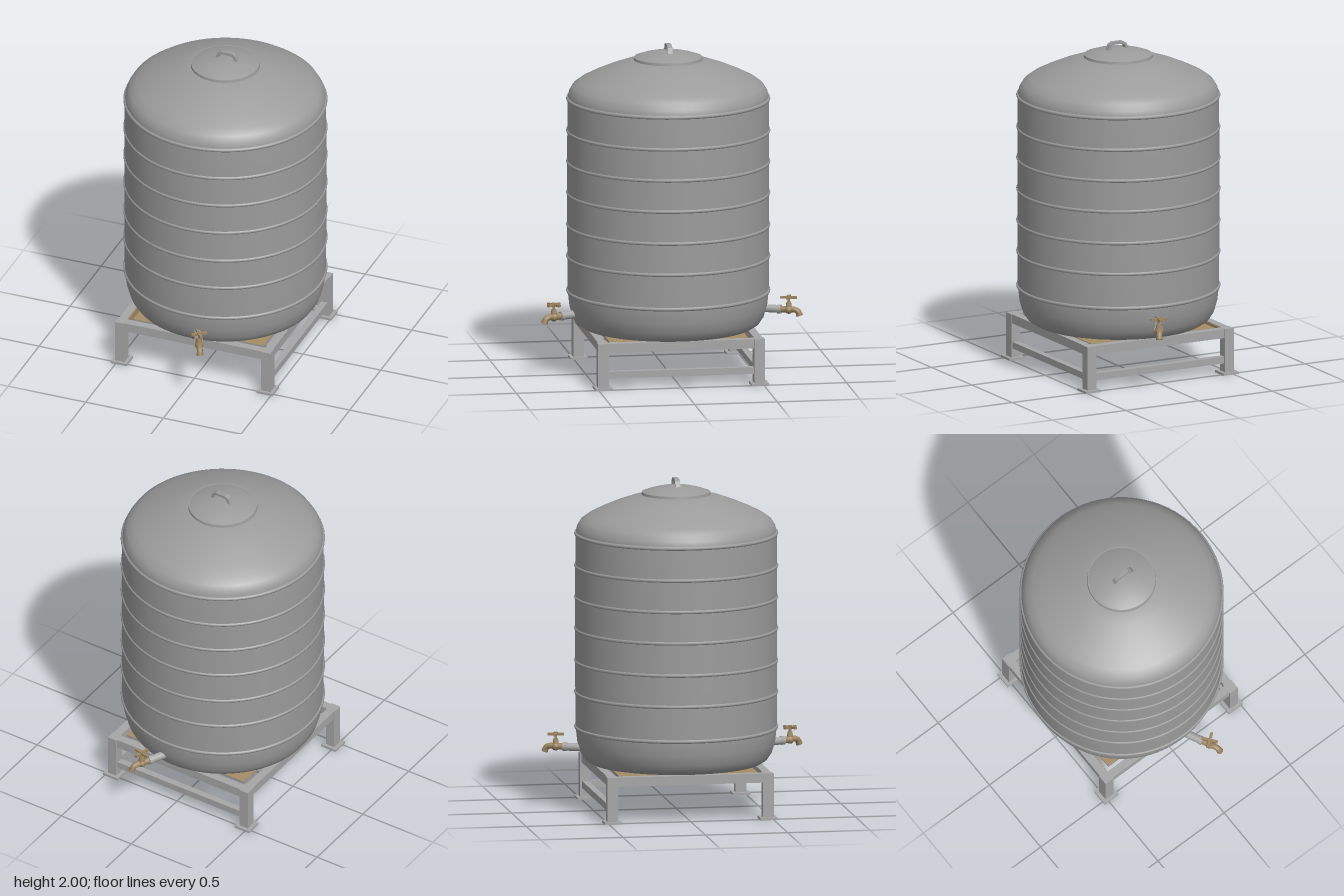
import * as THREE from 'three';

const mat = (name, color) => {
  const m = new THREE.MeshStandardMaterial({ color });
  m.name = name;
  return m;
};

export function createModel() {
  const steel = mat('tank steel', 0x9b9b9b);
  const frameSteel = mat('frame steel', 0xa6a6a6);
  const brass = mat('brass', 0x9c8562);
  const rust = mat('rust', 0xa58c66);

  const model = new THREE.Group();
  model.name = 'waterTank';
  const add = (parent, name, geo, material, x = 0, y = 0, z = 0) => {
    const m = new THREE.Mesh(geo, material);
    m.name = name;
    m.position.set(x, y, z);
    parent.add(m);
    return m;
  };
  const box = (parent, name, w, h, d, x, y, z, material) =>
    add(parent, name, new THREE.BoxGeometry(w, h, d), material, x, y, z);
  const lathe = (pts, seg, start = 0, sweep = Math.PI * 2) =>
    new THREE.LatheGeometry(pts.map(([r, y]) => new THREE.Vector2(r, y)), seg, start, sweep);

  // Tank body with rounded base and domed shoulder
  add(model, 'tankBody', lathe([
    [0, 0.28], [0.48, 0.28], [0.515, 0.286], [0.547, 0.306], [0.573, 0.345], [0.592, 0.41],
    [0.602, 0.5], [0.604, 0.8], [0.604, 1.4], [0.602, 1.67], [0.594, 1.71], [0.572, 1.747],
    [0.53, 1.778], [0.46, 1.813], [0.37, 1.852], [0.28, 1.884], [0.19, 1.91], [0, 1.925],
  ], 72), steel);

  // Raised hoops around the tank
  for (const y of [0.5, 0.71, 0.9, 1.095, 1.285, 1.475, 1.67]) {
    const hoop = add(model, 'hoop', new THREE.TorusGeometry(0.599, 0.012, 8, 72), steel, 0, y, 0);
    hoop.rotation.x = Math.PI / 2;
  }

  // Lid: rim and shallow dome
  add(model, 'lidRim', new THREE.CylinderGeometry(0.205, 0.208, 0.022, 48), steel, 0, 1.909, 0);
  add(model, 'lidDome', lathe([
    [0.203, 1.918], [0.16, 1.935], [0.1, 1.95], [0.05, 1.957], [0, 1.959],
  ], 48), steel);

  // Lid handle: a bent strap
  const strap = new THREE.Shape();
  [[-0.065, 1.945], [-0.047, 1.987], [-0.025, 2], [0.045, 2], [0.065, 1.987], [0.083, 1.945],
    [0.065, 1.945], [0.051, 1.976], [0.04, 1.984], [-0.02, 1.984], [-0.033, 1.976], [-0.047, 1.945],
  ].forEach(([x, y], i) => (i ? strap.lineTo(x, y) : strap.moveTo(x, y)));
  const strapGeo = new THREE.ExtrudeGeometry(strap, { depth: 0.03, bevelEnabled: false });
  add(model, 'lidHandle', strapGeo, steel, 0, 0, -0.015);

  // Stand: legs, feet, top rails and lower braces
  const stand = new THREE.Group();
  stand.name = 'stand';
  model.add(stand);
  const xs = [-0.48, 0.46], zs = [-0.475, 0.47];
  for (const x of xs) {
    for (const z of zs) {
      box(stand, 'leg', 0.06, 0.27, 0.065, x, 0.145, z, frameSteel);
      box(stand, 'foot', 0.105, 0.014, 0.105, x, 0.007, z, frameSteel);
    }
    box(stand, 'sideRail', 0.05, 0.055, 0.9, x, 0.252, 0, frameSteel);
  }
  for (const z of zs) box(stand, 'crossRail', 0.9, 0.055, 0.05, -0.01, 0.252, z, frameSteel);
  box(stand, 'backBrace', 0.89, 0.042, 0.04, -0.01, 0.088, zs[0], frameSteel);
  box(stand, 'sideBrace', 0.04, 0.04, 0.89, xs[1], 0.088, 0, frameSteel);

  // Platform under the tank with a rusty top
  const plate = box(stand, 'platform', 0.84, 0.014, 0.84, -0.005, 0.267, 0, steel);
  plate.material = [steel, steel, rust, steel, steel, steel];

  // Rust on the inner rail face, under the platform edge and below the front tap
  box(stand, 'railRust', 0.006, 0.05, 0.86, xs[0] + 0.027, 0.25, 0, rust);
  box(stand, 'platformRust', 0.05, 0.004, 0.5, 0.385, 0.259, -0.1, rust);
  box(stand, 'railStain', 0.05, 0.03, 0.006, 0.03, 0.263, zs[1] + 0.024, rust);
  add(model, 'tankStain', lathe([
    [0.518, 0.285], [0.55, 0.305], [0.576, 0.345], [0.583, 0.365],
  ], 4, 0.01, 0.1), rust);

  // Taps: grey pipe, brass body, curved spout and cross handle
  const makeTap = (name, z, angle) => {
    const tap = new THREE.Group();
    tap.name = name;
    tap.position.set(0.042, 0.378, z);
    tap.rotation.y = angle;
    model.add(tap);
    const tube = (part, r, len, at, material) => {
      const m = add(tap, part, new THREE.CylinderGeometry(r, r, len, 16), material, 0, 0, at);
      m.rotation.x = Math.PI / 2;
    };
    tube('pipe', 0.024, 0.13, 0.055, frameSteel);
    tube('pipeCollar', 0.027, 0.022, 0.11, frameSteel);
    tube('tapBody', 0.02, 0.07, 0.15, brass);
    add(tap, 'valveBody', new THREE.SphereGeometry(0.026, 16, 10), brass, 0, 0, 0.168);
    const path = new THREE.CatmullRomCurve3([
      [0, 0, 0.165], [0, 0.002, 0.2], [0, -0.006, 0.224], [0, -0.03, 0.236],
    ].map((p) => new THREE.Vector3(...p)));
    add(tap, 'spout', new THREE.TubeGeometry(path, 12, 0.018, 12), brass);
    const lip = add(tap, 'spoutLip', new THREE.CylinderGeometry(0.02, 0.02, 0.014, 12), brass,
      0, -0.027, 0.235);
    lip.rotation.x = -0.35;
    add(tap, 'bonnet', new THREE.CylinderGeometry(0.014, 0.02, 0.035, 12), brass, 0, 0.03, 0.168);
    add(tap, 'stem', new THREE.CylinderGeometry(0.008, 0.008, 0.05, 10), brass, 0, 0.06, 0.168);
    add(tap, 'handleHub', new THREE.CylinderGeometry(0.013, 0.013, 0.018, 10), brass, 0, 0.077, 0.168);
    for (const turn of [0, Math.PI / 2]) {
      const bar = box(tap, 'handleBar', 0.1, 0.014, 0.016, 0, 0.074, 0.168, brass);
      bar.rotation.y = turn + 0.2;
    }
  };
  makeTap('frontTap', 0.56, 0.45);
  makeTap('backTap', -0.56, Math.PI - 0.45);

  return model;
}
